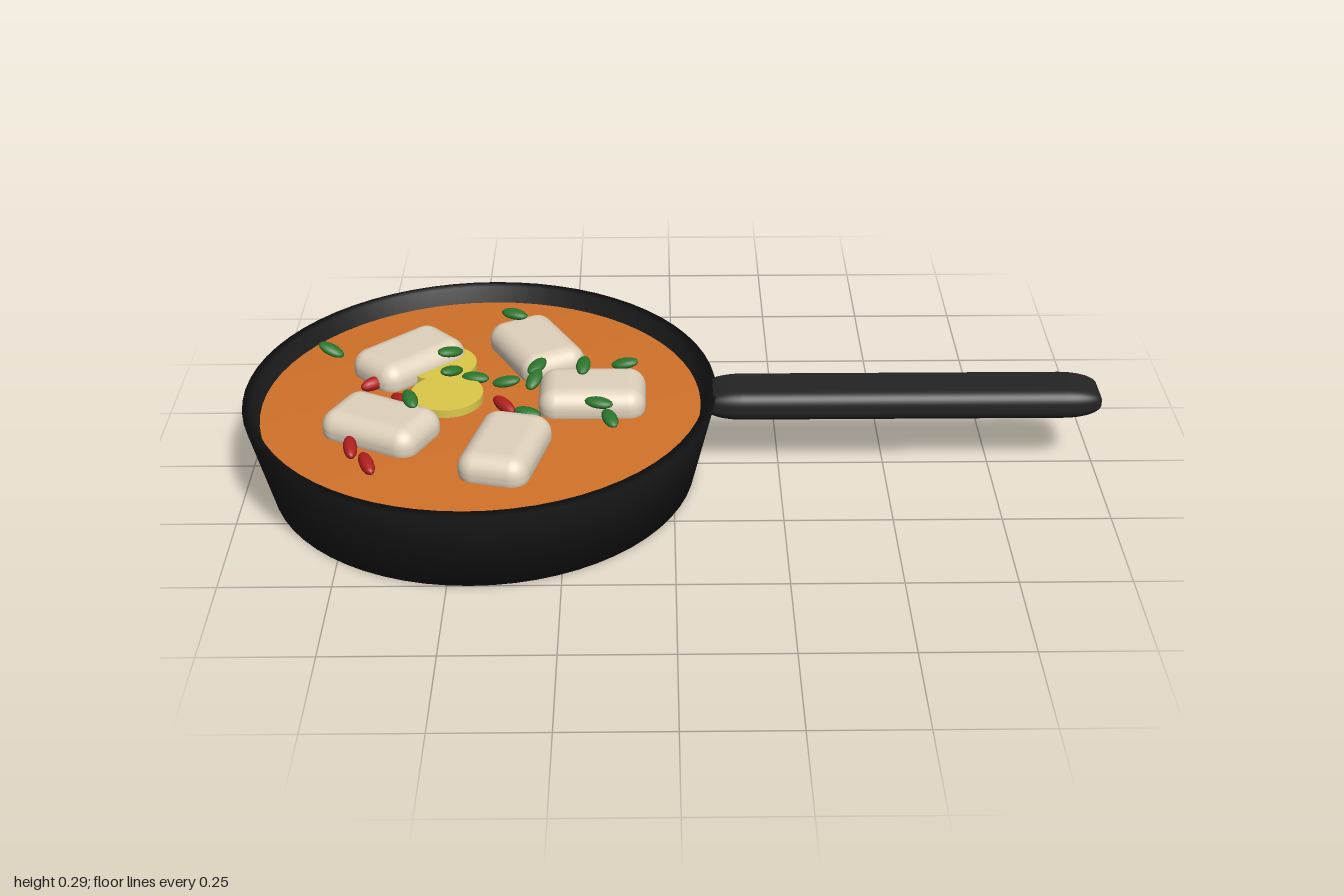
import * as THREE from 'three';
import { RoundedBoxGeometry } from 'three/addons/geometries/RoundedBoxGeometry.js';

const CENTER_X = -0.45;

function material(name, color) {
  const m = new THREE.MeshStandardMaterial({ color });
  m.name = name;
  return m;
}

function lathe(points, segments) {
  return new THREE.LatheGeometry(points.map(([r, y]) => new THREE.Vector2(r, y)), segments);
}

export function createModel() {
  const iron = material('cast iron black', 0x1b1b1b);
  const grip = material('handle black', 0x242424);
  const broth = material('orange sauce', 0xd2722a);
  const cream = material('fish cream', 0xe0d2bc);
  const lemon = material('lemon yellow', 0xdcc94a);
  const chili = material('chili red', 0xb3201f);
  const herb = material('herb green', 0x2a742c);

  const model = new THREE.Group();
  model.name = 'panOfStew';

  function add(parent, name, geometry, mat, x, y, z) {
    const mesh = new THREE.Mesh(geometry, mat);
    mesh.name = name;
    mesh.position.set(x, y, z);
    parent.add(mesh);
    return mesh;
  }

  function group(name) {
    const g = new THREE.Group();
    g.name = name;
    model.add(g);
    return g;
  }

  // Flared pan with a thick wall
  add(model, 'pan', lathe([
    [0, 0], [0.5, 0], [0.55, 0.21], [0.525, 0.21], [0.475, 0.03], [0, 0.03],
  ], 64), iron, CENTER_X, 0, 0);

  // Sauce, with softened edge normals
  add(model, 'sauce', lathe([[0.505, 0.14], [0.514, 0.17], [0, 0.17]], 64), broth, CENTER_X, 0, 0);

  // Handle: rounded bar stretched along its length
  const handleGeometry = new RoundedBoxGeometry(0.31, 0.073, 0.134, 5, 0.03);
  handleGeometry.scale(3, 1, 1);
  add(model, 'handle', handleGeometry, grip, 0.535, 0.184, 0);

  // Fish pieces in a loose ring: x, z, turn in degrees (from +x towards +z)
  const fish = group('fishPieces');
  const fishGeometry = new RoundedBoxGeometry(0.25, 0.09, 0.165, 6, 0.042);
  [
    [-0.19, -0.005, 0],
    [-0.38, 0.24, 104],
    [-0.67, 0.13, 27],
    [-0.635, -0.18, -43],
    [-0.33, -0.227, 62],
  ].forEach(([x, z, turn]) => {
    const piece = add(fish, 'fishPiece', fishGeometry, cream, x, 0.185, z);
    piece.rotation.y = -THREE.MathUtils.degToRad(turn);
  });

  // Lemon slices
  const lemons = group('lemonSlices');
  const sliceGeometry = new THREE.CylinderGeometry(0.085, 0.085, 0.02, 32);
  add(lemons, 'lemonSlice', sliceGeometry, lemon, -0.53, 0.19, 0);
  add(lemons, 'lemonSlice', sliceGeometry, lemon, -0.557, 0.182, -0.158);

  // Small flattened ellipsoids for the garnish
  const seed = new THREE.SphereGeometry(1, 16, 10);

  // Chili slivers: x, z, half length, turn in degrees
  const chilies = group('chiliSlivers');
  [
    [-0.395, 0.035, 0.042, 55],
    [-0.73, 0.22, 0.045, 80],
    [-0.685, 0.29, 0.045, 70],
    [-0.635, 0.013, 0.035, 45],
    [-0.71, -0.07, 0.035, -40],
  ].forEach(([x, z, length, turn]) => {
    const sliver = add(chilies, 'chiliSliver', seed, chili, x, 0.185, z);
    sliver.scale.set(length, 0.016, 0.016);
    sliver.rotation.y = -THREE.MathUtils.degToRad(turn);
  });

  // Herb leaves: x, y, z, turn and tilt in degrees
  const herbs = group('herbLeaves');
  [
    [-0.805, 0.27, -0.083, 20, -20],
    [-0.595, 0.278, 0.165, 70, 0],
    [-0.525, 0.264, -0.08, -30, -15],
    [-0.52, 0.235, -0.04, -45, -20],
    [-0.468, 0.2, -0.07, 10, 0],
    [-0.383, 0.271, -0.257, 20, 0],
    [-0.39, 0.228, 0, 0, 10],
    [-0.318, 0.26, -0.015, -60, 0],
    [-0.323, 0.25, 0.03, -70, 10],
    [-0.21, 0.26, -0.018, -85, 0],
    [-0.115, 0.2, -0.135, 0, 10],
    [-0.335, 0.215, 0.122, 20, 0],
    [-0.17, 0.273, 0.178, 15, 0],
    [-0.145, 0.245, 0.2, 70, 0],
  ].forEach(([x, y, z, turn, tilt]) => {
    const leaf = add(herbs, 'herbLeaf', seed, herb, x, y, z);
    leaf.scale.set(0.033, 0.011, 0.017);
    leaf.rotation.set(0.15, -THREE.MathUtils.degToRad(turn), THREE.MathUtils.degToRad(tilt));
  });

  return model;
}
